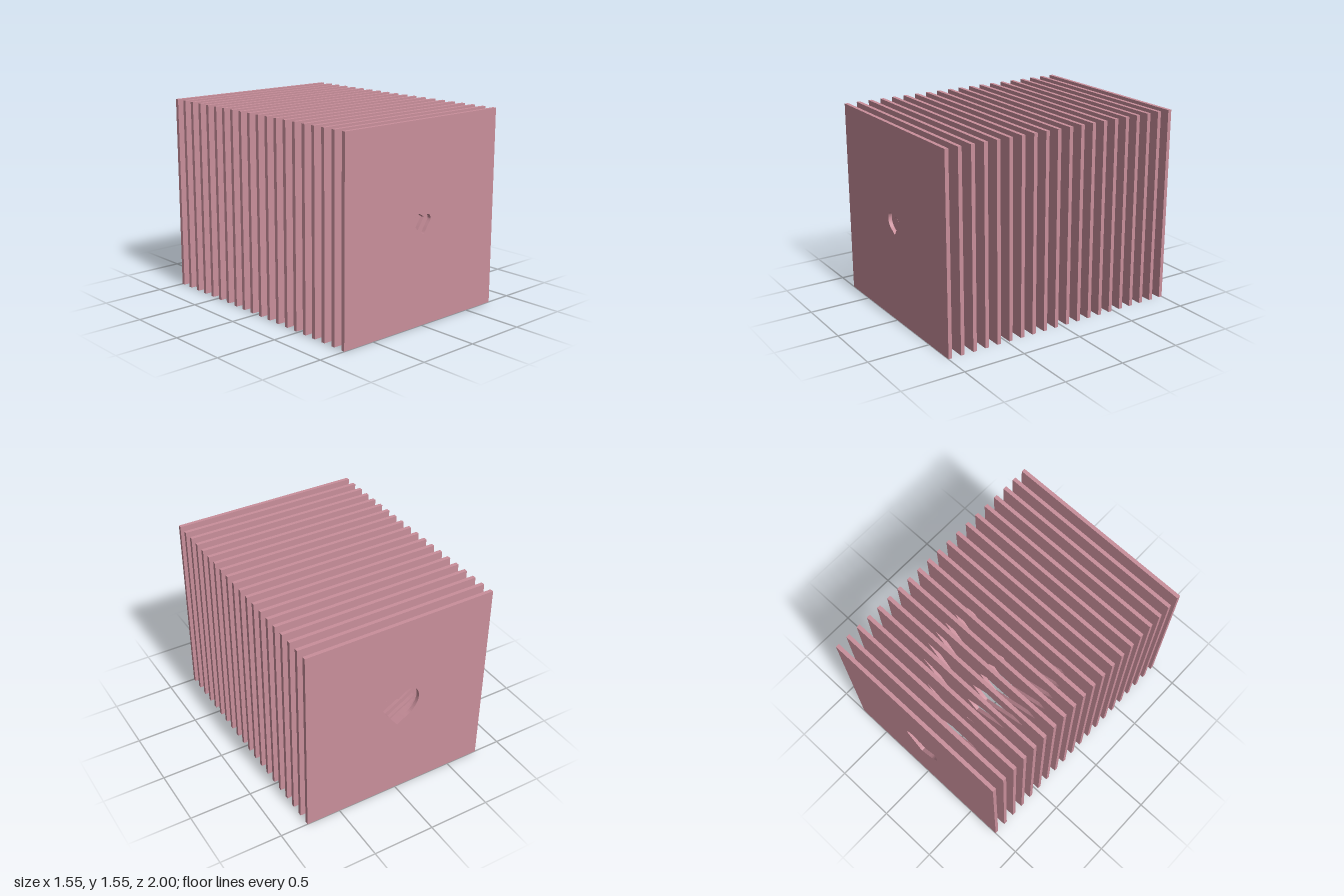
import * as THREE from 'three';

const SIDE = 1.555, THICK = 0.03, COUNT = 20, MID = SIDE / 2;
const PITCH = (2 - THICK) / (COUNT - 1);
const PEAK = 5.5; // slot, counted from the back, where the cut-out is widest

// Slightly lopsided heart around the plate centre, from notch to tip and back
const RIGHT_HALF = [[0.003, 0.056], [0.02, 0.067], [0.04, 0.073], [0.062, 0.066], [0.075, 0.045],
  [0.073, 0.024], [0.04, -0.023], [0.015, -0.06], [0.003, -0.072]];
const LEFT_HALF = [[0.003, -0.072], [-0.03, -0.052], [-0.062, -0.031], [-0.085, 0], [-0.093, 0.033],
  [-0.086, 0.063], [-0.068, 0.082], [-0.045, 0.086], [-0.02, 0.074], [0.003, 0.056]];

// Heart size swells from both ends towards the peak slot
function heartScale(k) {
  const swell = (u) => Math.sin(u * Math.PI / 2);
  return k < PEAK
    ? 1.9 + 6.1 * swell(k / PEAK)
    : 1 + 7 * swell((COUNT - 1 - k) / (COUNT - 1 - PEAK));
}

function heartHole(scale) {
  const place = ([x, y]) => new THREE.Vector2(x * scale, MID + y * scale);
  const hole = new THREE.Path();
  const start = place(RIGHT_HALF[0]);
  hole.moveTo(start.x, start.y);
  hole.splineThru(RIGHT_HALF.slice(1).map(place));
  hole.splineThru(LEFT_HALF.slice(1).map(place));
  return hole;
}

export function createModel() {
  const model = new THREE.Group();
  model.name = 'heartTunnel';
  const material = new THREE.MeshStandardMaterial({ color: 0xc98f9b });

  // Row of square plates from back to front, each with its own heart cut-out
  for (let k = 0; k < COUNT; k++) {
    const h = SIDE / 2;
    const outline = new THREE.Shape([
      new THREE.Vector2(-h, 0), new THREE.Vector2(h, 0),
      new THREE.Vector2(h, SIDE), new THREE.Vector2(-h, SIDE),
    ]);
    outline.holes.push(heartHole(heartScale(k)));
    const geometry = new THREE.ExtrudeGeometry(outline, { depth: THICK, bevelEnabled: false, curveSegments: 5 });
    const plate = new THREE.Mesh(geometry, material);
    plate.name = `plate${k + 1}`;
    plate.position.z = -1 + k * PITCH;
    model.add(plate);
  }
  return model;
}
